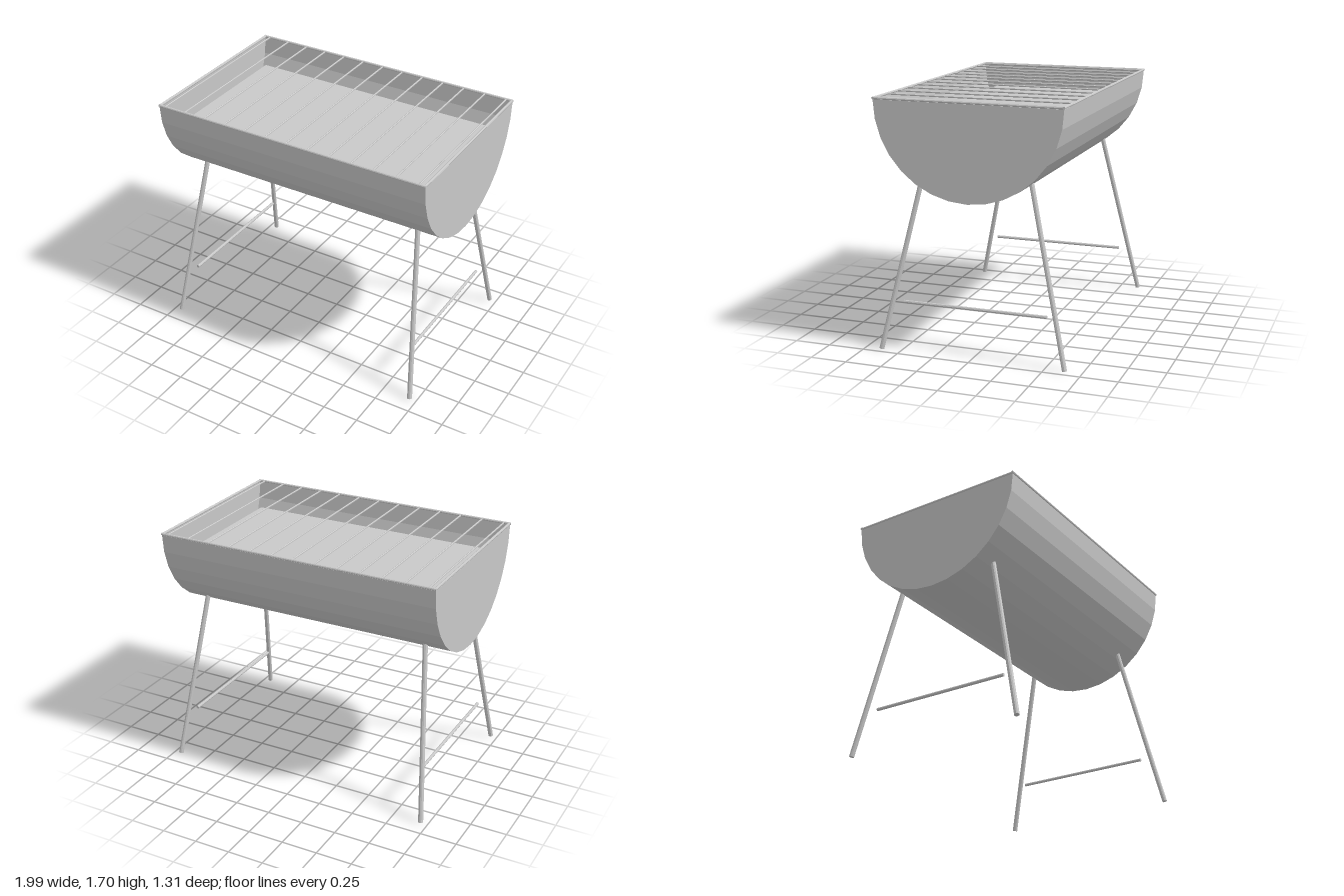
import * as THREE from 'three';

export function createModel() {
  const group = new THREE.Group();
  const steel = new THREE.MeshStandardMaterial({ color: 0xc8c8c8, flatShading: true, side: THREE.DoubleSide });
  steel.name = 'brushed steel';

  const add = (name, geometry, x = 0, y = 0, z = 0) => {
    const mesh = new THREE.Mesh(geometry, steel);
    mesh.name = name;
    mesh.position.set(x, y, z);
    group.add(mesh);
    return mesh;
  };

  // Round rod running between two points
  const rod = (name, from, to, radius, sides = 8) => {
    const a = new THREE.Vector3(...from), b = new THREE.Vector3(...to);
    const dir = b.clone().sub(a);
    const mesh = add(name, new THREE.CylinderGeometry(radius, radius, dir.length(), sides));
    mesh.position.copy(a).add(b).multiplyScalar(0.5);
    mesh.quaternion.setFromUnitVectors(new THREE.Vector3(0, 1, 0), dir.normalize());
  };

  // Half-barrel trough: curved shell and two flat ends
  const R = 0.633, TOP = 1.678, HALF = 0.993;
  const shell = new THREE.CylinderGeometry(R, R, HALF * 2, 16, 1, true, Math.PI, Math.PI);
  shell.rotateZ(Math.PI / 2);
  add('troughShell', shell, 0, TOP, 0);
  for (const s of [-1, 1]) {
    const end = new THREE.CircleGeometry(R, 16, Math.PI, Math.PI).rotateY(s * Math.PI / 2);
    add('troughEnd', end, s * HALF, TOP, 0);
  }

  // Charcoal tray hanging inside the trough
  add('charcoalTray', new THREE.BoxGeometry(1.8, 0.006, 0.98), 0, 1.53, 0);

  // Rim frame
  const rimY = 1.687;
  for (const s of [-1, 1]) {
    rod('rimLong', [-0.997, rimY, s * 0.631], [0.997, rimY, s * 0.631], 0.009);
    rod('rimShort', [s * 0.988, rimY, -0.635], [s * 0.988, rimY, 0.635], 0.009);
  }

  // Grill bars
  for (let i = 0; i < 13; i++) {
    const x = -0.948 + i * 0.158;
    rod('grillBar', [x, rimY, -0.635], [x, rimY, 0.635], 0.006, 6);
  }

  // Splayed legs and the stretchers between them
  for (const sx of [-1, 1]) {
    for (const sz of [-1, 1]) {
      rod('leg', [sx * 0.95, 0.005, sz * 0.636], [sx * 0.825, 1.18, sz * 0.37], 0.017, 10);
    }
    rod('stretcher', [sx * 0.883, 0.326, -0.495], [sx * 0.883, 0.326, 0.495], 0.011);
  }

  return group;
}
